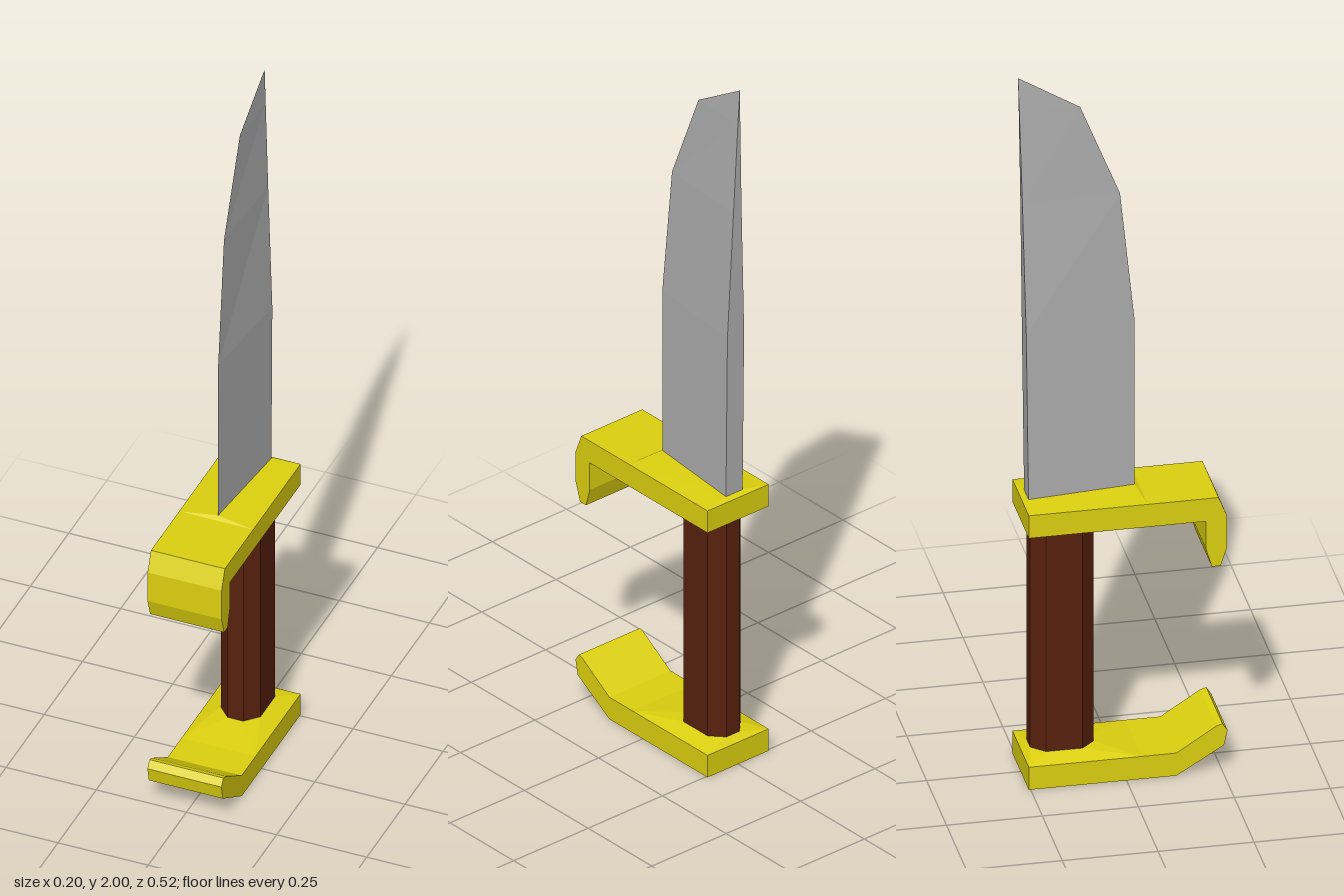
import * as THREE from 'three';

const brass = new THREE.MeshStandardMaterial({ color: 0xdcd00f });
brass.name = 'yellow brass';
const steel = new THREE.MeshStandardMaterial({ color: 0xaeaeae });
steel.name = 'grey steel';
const wood = new THREE.MeshStandardMaterial({ color: 0x58210d });
wood.name = 'dark brown wood';

const HALF_WIDTH = 0.1025;
const BACK = -0.255;

// Extrude a side profile of [z, y] points across the width
function plate(points) {
  const shape = new THREE.Shape(points.map(([z, y]) => new THREE.Vector2(z, y)));
  const geo = new THREE.ExtrudeGeometry(shape, { depth: HALF_WIDTH * 2, bevelEnabled: false });
  geo.translate(0, 0, -HALF_WIDTH);
  geo.rotateY(-Math.PI / 2);
  return geo;
}

// Flat-sided skin through rings of [x, z] points, listed from bottom to top
function loft(rings) {
  const pos = [];
  for (let i = 0; i < rings.length - 1; i++) {
    const lo = rings[i], hi = rings[i + 1], n = lo.ring.length;
    for (let j = 0; j < n; j++) {
      const k = (j + 1) % n;
      const put = (level, m) => pos.push(level.ring[m][0], level.y, level.ring[m][1]);
      put(lo, j); put(lo, k); put(hi, k);
      put(lo, j); put(hi, k); put(hi, j);
    }
  }
  const geo = new THREE.BufferGeometry();
  geo.setAttribute('position', new THREE.Float32BufferAttribute(pos, 3));
  geo.computeVertexNormals();
  return geo;
}

// Eight-point rings, so a rectangle can blend into the grip's octagon
const octagon = (x, cx, front, back, cz) => [
  [cx, front], [x, front - cz], [x, back + cz], [cx, back],
  [-cx, back], [-x, back + cz], [-x, front - cz], [-cx, front],
];
const rectangle = (front) => octagon(HALF_WIDTH, HALF_WIDTH, front, BACK, 0);
const gripRing = octagon(0.055, 0.022, -0.07, -0.235, 0.035);

export function createModel() {
  const model = new THREE.Group();
  const add = (name, geo, material) => {
    const mesh = new THREE.Mesh(geo, material);
    mesh.name = name;
    model.add(mesh);
  };

  // Wedge blade: sharp front edge, flat spine tapering to the tip
  const wedge = (y, edge, spine, w) => ({ y, ring: [[0, edge], [w, spine], [-w, spine]] });
  add('blade', loft([
    wedge(0.78, 0.042, -0.24, 0.028),
    wedge(1.27, 0.042, -0.246, 0.028),
    wedge(1.64, 0.004, -0.253, 0.0135),
    wedge(1.9, -0.1, -0.259, 0.004),
    wedge(2.0, -0.262, -0.262, 0),
  ]), steel);

  // Upper guard with a hook turned down
  add('guard', plate([
    [BACK, 0.725], [0.207, 0.725], [0.207, 0.645], [0.222, 0.593], [0.245, 0.593],
    [0.262, 0.645], [0.262, 0.735], [0.24, 0.79], [BACK, 0.79],
  ]), brass);

  // Shallow rise from the guard to the blade root
  add('bladeCollar', loft([
    { y: 0.79, ring: [[-HALF_WIDTH, 0.055], [HALF_WIDTH, 0.055], [HALF_WIDTH, BACK], [-HALF_WIDTH, BACK]] },
    { y: 0.797, ring: [[0, 0.042], [0, 0.042], [0.028, -0.24], [-0.028, -0.24]] },
  ]), brass);

  // Pommel plate with a lip swept up
  add('pommel', plate([
    [BACK, 0], [0.13, 0], [0.254, 0.075], [0.263, 0.117],
    [0.25, 0.137], [0.234, 0.132], [0.13, 0.065], [BACK, 0.065],
  ]), brass);

  // Octagonal grip and the collars that join it to both plates
  add('grip', loft([{ y: 0.06, ring: gripRing }, { y: 0.73, ring: gripRing }]), wood);
  add('upperGripCollar', loft([{ y: 0.712, ring: gripRing }, { y: 0.725, ring: rectangle(0) }]), brass);
  add('lowerGripCollar', loft([{ y: 0.065, ring: rectangle(0.04) }, { y: 0.08, ring: gripRing }]), brass);

  return model;
}
